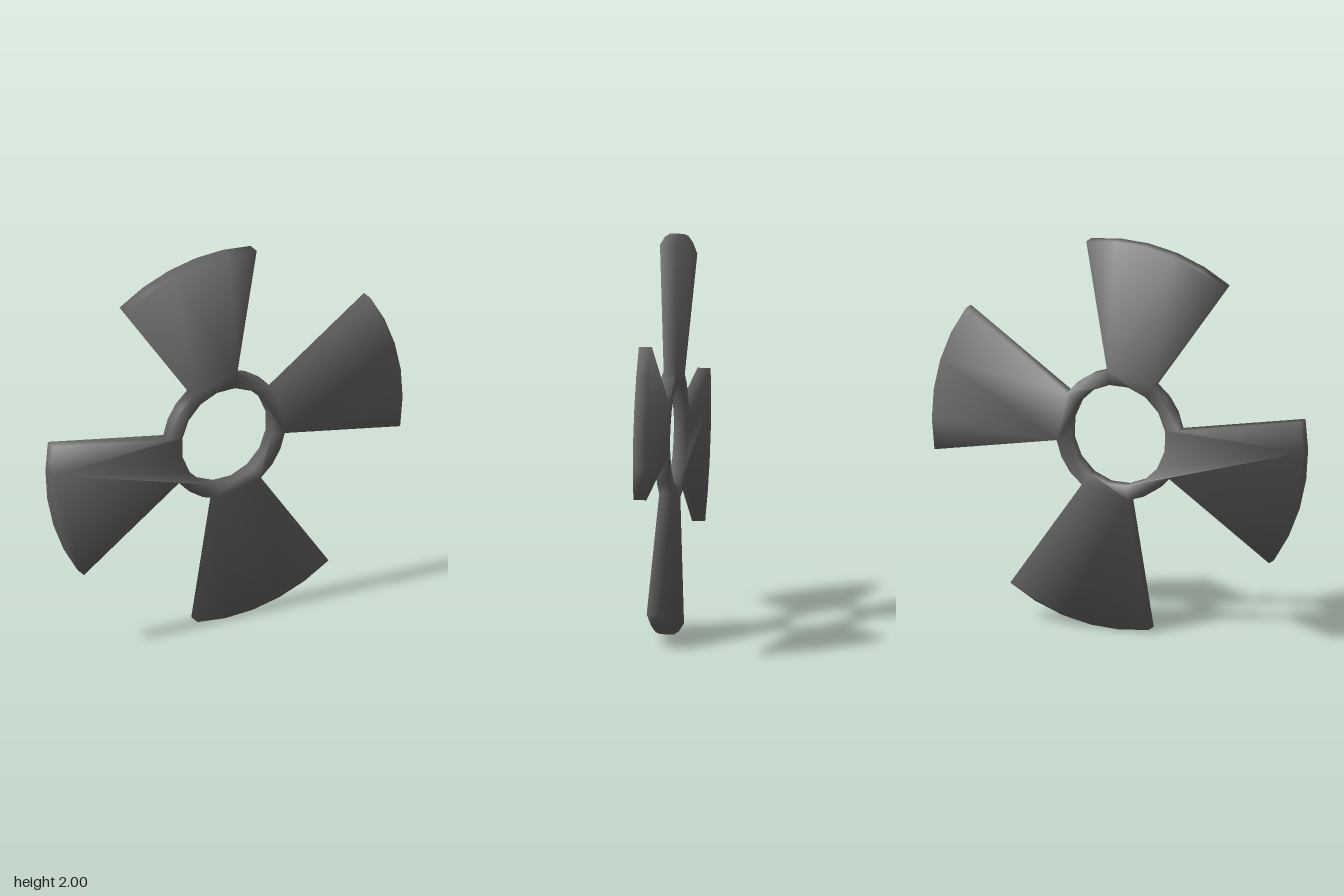
import * as THREE from 'three';
import { mergeVertices } from 'three/addons/utils/BufferGeometryUtils.js';

const DEG = Math.PI / 180;
const DEPTH = 0.066;
const RING_INNER = 0.26, RING_OUTER = 0.333, TIP = 1;
const START = -9.7, SPAN = 45;

// Points along an arc, angles in degrees
function arc(radius, from, sweep, segments) {
  return Array.from({ length: segments + 1 }, (_, i) => {
    const a = (from + (sweep * i) / segments) * DEG;
    return new THREE.Vector2(radius * Math.cos(a), radius * Math.sin(a));
  });
}

// Smooth normals weighted by corner angle, so rims round over softly
function smoothByAngle(geometry) {
  const position = geometry.attributes.position;
  const sums = Array.from({ length: position.count }, () => new THREE.Vector3());
  const index = geometry.index.array;
  for (let t = 0; t < index.length; t += 3) {
    const ids = [index[t], index[t + 1], index[t + 2]];
    const p = ids.map((id) => new THREE.Vector3().fromBufferAttribute(position, id));
    const normal = new THREE.Triangle(...p).getNormal(new THREE.Vector3());
    ids.forEach((id, k) => {
      const a = p[(k + 1) % 3].clone().sub(p[k]);
      const b = p[(k + 2) % 3].clone().sub(p[k]);
      sums[id].addScaledVector(normal, a.angleTo(b));
    });
  }
  const normals = sums.flatMap((n) => n.normalize().toArray());
  geometry.setAttribute('normal', new THREE.Float32BufferAttribute(normals, 3));
}

export function createModel() {
  const group = new THREE.Group();
  group.name = 'fanRotor';

  // Outline: curved blade tip, then the ring section up to the next blade
  const outline = [];
  for (let i = 0; i < 4; i++) {
    const a = START + i * 90;
    outline.push(...arc(TIP, a, SPAN, 5));
    outline.push(...arc(RING_OUTER, a + SPAN, 90 - SPAN, 3));
  }
  const shape = new THREE.Shape(outline);

  // Round opening in the hub
  shape.holes.push(new THREE.Path(arc(RING_INNER, START, -360, 16).slice(0, -1)));

  // One flat plate with shared, smoothed normals
  let geometry = new THREE.ExtrudeGeometry(shape, { depth: DEPTH, bevelEnabled: false });
  geometry.translate(0, 1, -DEPTH / 2);
  geometry.deleteAttribute('normal');
  geometry.deleteAttribute('uv');
  geometry = mergeVertices(geometry, 1e-4);
  smoothByAngle(geometry);

  const rotor = new THREE.Mesh(geometry, new THREE.MeshStandardMaterial({ color: 0x6c6c6c }));
  rotor.name = 'bladesAndHubRing';
  group.add(rotor);
  return group;
}
